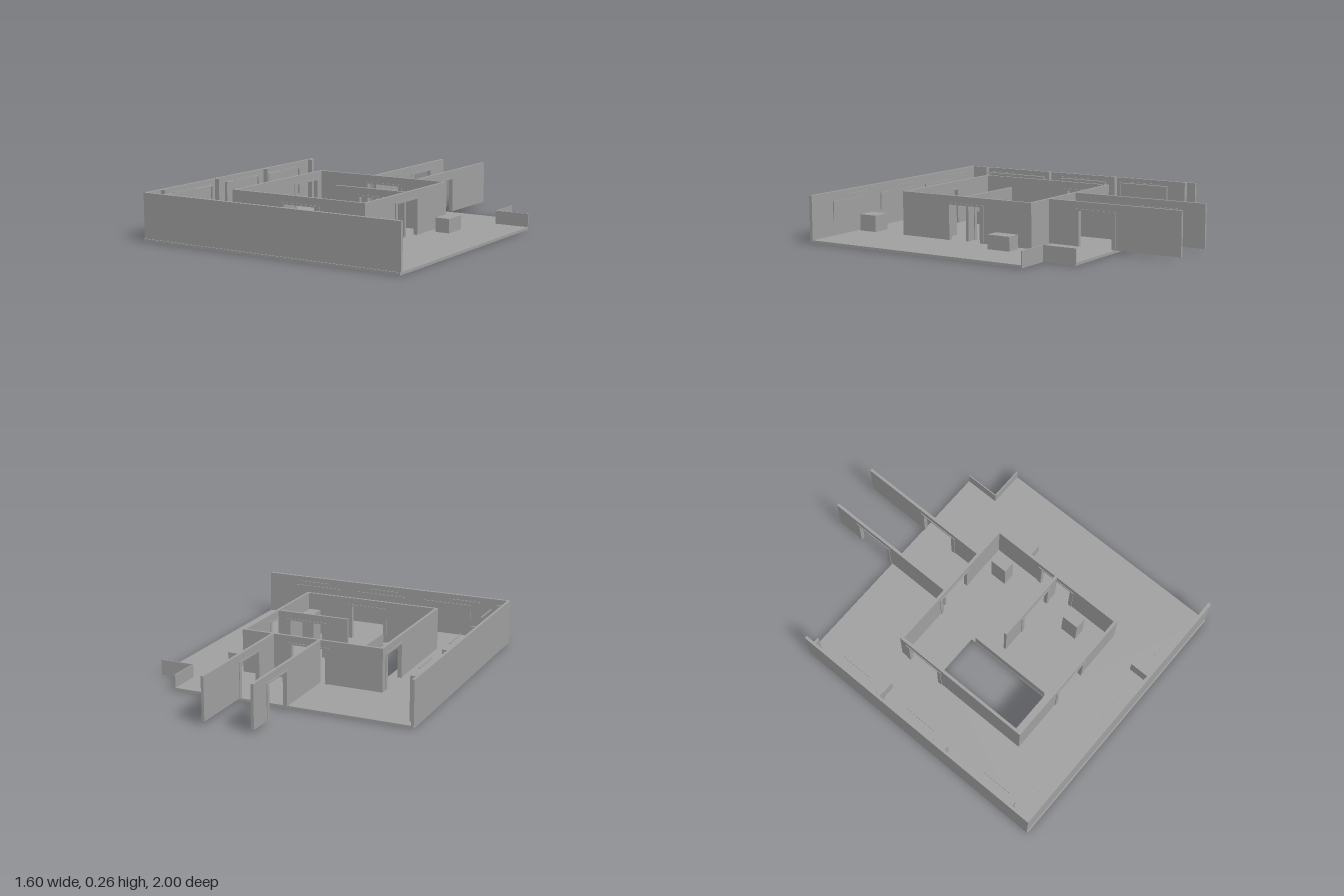
import * as THREE from 'three';

const FLOOR = 0.015, TOP = 0.265;

export function createModel() {
  const model = new THREE.Group();
  model.name = 'floorPlan';
  const grey = new THREE.MeshStandardMaterial({ color: 0xa0a0a0 });
  grey.name = 'plaster grey';

  const add = (name, geometry, parent = model) => {
    const mesh = new THREE.Mesh(geometry, grey);
    mesh.name = name;
    parent.add(mesh);
    return mesh;
  };

  // Box given by its minimum and maximum on each axis
  const block = (name, x0, x1, y0, y1, z0, z1, parent) => {
    const g = new THREE.BoxGeometry(x1 - x0, y1 - y0, z1 - z0);
    g.translate((x0 + x1) / 2, (y0 + y1) / 2, (z0 + z1) / 2);
    return add(name, g, parent);
  };

  const outline = (points) => new THREE.Shape(points.map(([x, y]) => new THREE.Vector2(x, y)));
  const extrude = (shape, depth) => new THREE.ExtrudeGeometry(shape, { depth, bevelEnabled: false });

  // Wall along x or z at a fixed position, with an optional framed doorway
  const wall = (name, axis, from, to, at, { door, thick = 0.016, bottom = FLOOR, top = TOP } = {}) => {
    const group = new THREE.Group();
    group.name = name;
    const slab = (label, points, depth) => {
      const g = extrude(outline(points), depth);
      g.translate(0, 0, -depth / 2);
      add(label, g, group);
    };
    const arch = (a, b, d0, d1, h, hd) =>
      [[a, bottom], [d0, bottom], [d0, hd], [d1, hd], [d1, bottom], [b, bottom], [b, h], [a, h]];
    if (door === undefined) {
      slab('wallPanel', [[from, bottom], [to, bottom], [to, top], [from, top]], thick);
    } else {
      const d0 = door - 0.105, d1 = door + 0.105;
      slab('wallPanel', arch(from, to, d0, d1, top, 0.22), thick);
      slab('doorFrame', arch(d0 - 0.02, d1 + 0.02, d0 + 0.003, d1 - 0.003, 0.225, 0.215), thick + 0.008);
    }
    if (axis === 'z') {
      // local x becomes world z
      group.rotation.y = -Math.PI / 2;
      group.position.x = at;
    } else {
      group.position.z = at;
    }
    model.add(group);
  };

  // Floor with a cut corner and a stairwell opening
  const floorShape = outline([[-0.8, -1], [0.8, -1], [0.8, 0.4], [0.6, 0.4], [0.6, 0.6], [-0.8, 0.6]]);
  floorShape.holes.push(outline([[-0.39, -0.58], [-0.39, -0.05], [-0.15, -0.05], [-0.15, -0.58]]));
  add('floor', extrude(floorShape, FLOOR).rotateX(-Math.PI / 2));

  // Outer walls
  wall('frontWall', 'x', -0.784, 0.8, 0.985, { thick: 0.018 });
  wall('sideWall', 'z', -0.6, 0.994, -0.792);

  // Inner room
  wall('roomBackWall', 'x', -0.462, 0.388, -0.19, { door: -0.02 });
  wall('roomFrontWall', 'x', -0.462, 0.388, 0.65, { door: -0.02 });
  wall('roomLeftWall', 'z', -0.182, 0.642, -0.454, { door: -0.03 });
  wall('roomRightWall', 'z', -0.182, 0.642, 0.38, { door: 0.235 });
  wall('partition', 'x', -0.07, 0.372, 0.23, { door: 0.19 });

  // Corridor walls running out past the floor
  wall('corridorWallA', 'z', -1, -0.198, -0.085, { door: -0.73, bottom: 0.02 });
  wall('corridorWallB', 'z', -1, -0.198, 0.2, { door: -0.49, bottom: 0.02 });

  // Low parapets at the cut corner and beside the stairwell
  block('cornerParapetSide', 0.596, 0.602, 0, 0.09, -0.6, -0.4);
  block('cornerParapetBack', 0.602, 0.8, 0, 0.09, -0.403, -0.397);
  block('stairRail', -0.148, -0.142, FLOOR, 0.09, 0.08, 0.58);

  // Plinths
  const plinths = [
    [-0.76, -0.655, -0.2, -0.1, 0.11],
    [0.23, 0.3, -0.12, -0.02, 0.21],
    [0.23, 0.3, 0.4, 0.5, 0.21],
    [0.43, 0.515, -0.14, 0, 0.095],
    [0.29, 0.4, 0.85, 0.96, 0.11],
  ];
  for (const [x0, x1, z0, z1, h] of plinths) block('plinth', x0, x1, FLOOR, h, z0, z1);

  // Pilasters on the side wall
  for (const z of [-0.54, -0.07, 0.395, 0.865])
    block('pilaster', -0.784, -0.755, FLOOR, TOP, z - 0.006, z + 0.006);

  // Framed display panels on the side wall, each with a picture light
  for (const [z0, z1, lamp] of [[-0.42, -0.1, -0.275], [0, 0.31, 0.19], [0.44, 0.85, 0.73]]) {
    block('displayPanel', -0.784, -0.778, 0.065, 0.23, z0, z1);
    for (const y of [0.062, 0.228]) block('panelRail', -0.784, -0.765, y, y + 0.006, z0, z1);
    for (const z of [z0, z1 - 0.005]) block('panelStile', -0.784, -0.768, 0.068, 0.228, z, z + 0.005);
    block('pictureLight', -0.738, -0.732, 0.243, 0.249, lamp - 0.093, lamp + 0.093);
  }

  // Panels and picture lights on the front wall
  for (const [x0, x1, lamp] of [[-0.56, -0.25, -0.535], [-0.13, 0.19, -0.005], [0.3, 0.62, 0.465]]) {
    block('frontPanel', x0, x1, 0.105, 0.21, 0.97, 0.976);
    block('frontPictureLight', lamp - 0.093, lamp + 0.093, 0.243, 0.249, 0.927, 0.933);
  }

  return model;
}
